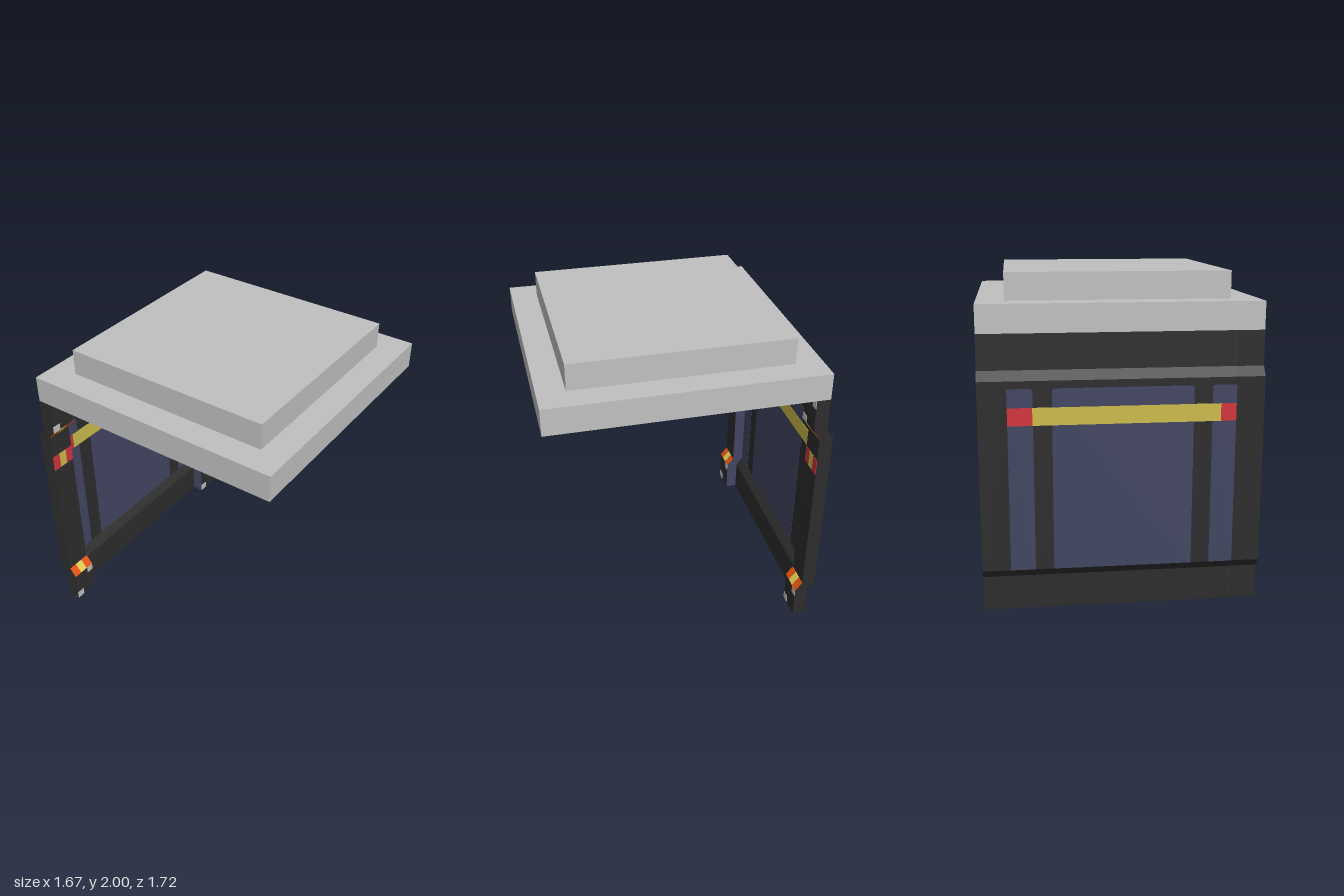
import * as THREE from 'three';

export function createModel() {
  const model = new THREE.Group();
  const paint = (name, color) => {
    const m = new THREE.MeshStandardMaterial({ color });
    m.name = name;
    return m;
  };
  const grey = paint('light grey', 0xc0c0c0);
  const dark = paint('charcoal', 0x2d2d2d);
  const blue = paint('window blue', 0x424662);
  const red = paint('red', 0xd0343c);
  const yellow = paint('yellow', 0xccbc4c);
  const orange = paint('orange', 0xe4520f);
  const lamp = paint('lamp yellow', 0xe2cb55);

  const add = (parent, name, geometry, material) => {
    const mesh = new THREE.Mesh(geometry, material);
    mesh.name = name;
    parent.add(mesh);
    return mesh;
  };

  // Prism along x from a profile of [z, y] points
  const prism = (profile, x0, x1) => {
    const shape = new THREE.Shape(profile.map(([z, y]) => new THREE.Vector2(-z, y)));
    const g = new THREE.ExtrudeGeometry(shape, { depth: x1 - x0, bevelEnabled: false });
    return g.rotateY(Math.PI / 2).translate(x0, 0, 0);
  };
  const block = (x0, x1, y0, y1, z0, z1) =>
    prism([[z0, y0], [z1, y0], [z1, y1], [z0, y1]], x0, x1);

  // Stepped hollow roof
  const roof = new THREE.Group();
  roof.name = 'roof';
  roof.position.z = 0.0225;
  model.add(roof);
  const square = (Type, h) =>
    new Type([[-h, -h], [h, -h], [h, h], [-h, h]].map(([x, y]) => new THREE.Vector2(x, y)));
  const ring = (name, outer, inner, y0, y1) => {
    const shape = square(THREE.Shape, outer);
    shape.holes.push(square(THREE.Path, inner));
    const g = new THREE.ExtrudeGeometry(shape, { depth: y1 - y0, bevelEnabled: false });
    add(roof, name, g.rotateX(-Math.PI / 2).translate(0, y0, 0), grey);
  };
  ring('lowerRoofFrame', 0.8335, 0.667, 1.67, 1.837);
  ring('upperRoofFrame', 0.667, 0.5, 1.837, 2);
  add(roof, 'roofCap', new THREE.BoxGeometry(1, 0.006, 1).translate(0, 1.997, 0), grey);

  // Cranked wall profile: back edge up, then front edge down
  const heights = [0, 0.21, 0.265, 1.405, 1.46, 1.67];
  const backZ = [-0.81, -0.81, -0.855, -0.855, -0.81, -0.81];
  const cranked = (t) => {
    const back = heights.map((y, i) => [backZ[i], y]);
    return [...back, ...back.map(([z, y]) => [z + t, y]).reverse()];
  };
  const wall = new THREE.Group();
  wall.name = 'wall';
  model.add(wall);
  add(wall, 'wallPanel', prism(cranked(0.008), -0.667, 0.667), dark);

  // Windows pass just through the panel; flags round the top corners
  const pane = (name, x0, x1, roundLeft, roundRight) => {
    const y0 = 0.265, y1 = 1.36;
    const rl = roundLeft ? 0.022 : 0, rr = roundRight ? 0.022 : 0;
    const s = new THREE.Shape();
    s.moveTo(x0, y0);
    s.lineTo(x1, y0);
    s.lineTo(x1, y1 - rr);
    if (rr) s.quadraticCurveTo(x1, y1, x1 - rr, y1);
    s.lineTo(x0 + rl, y1);
    if (rl) s.quadraticCurveTo(x0, y1, x0, y1 - rl);
    const g = new THREE.ExtrudeGeometry(s, { depth: 0.012, bevelEnabled: false, curveSegments: 4 });
    add(wall, name, g.translate(0, 0, -0.857), blue);
  };
  pane('rightWindow', -0.667, -0.525, false, true);
  pane('middleWindow', -0.415, 0.41, true, true);
  pane('leftWindow', 0.52, 0.667, true, false);

  // Handrail stripe, seen on both faces of the panel
  const rail = [[-0.667, -0.575, red], [-0.575, 0.523, yellow], [0.523, 0.667, red]];
  for (const [x0, x1, m] of rail) {
    add(wall, 'railStripe', block(x0, x1, 1.145, 1.25, -0.859, -0.843), m);
  }

  // Two identical posts, each starting at its lower x edge
  const W = 0.168, A = 0.056, B = 0.112, T = 0.003;
  [-0.835, 0.667].forEach((x, i) => {
    const post = new THREE.Group();
    post.name = i ? 'leftPost' : 'rightPost';
    post.position.x = x;
    model.add(post);
    add(post, 'postBody', prism(cranked(0.085), 0, W), dark);

    // Blue lining on the face towards the windows
    const lining = i ? prism(cranked(0.084), -T, 0) : prism(cranked(0.084), W, W + T);
    add(post, 'postLining', lining, blue);

    // Three-part bands on the straight face and on both bends
    [[0, A], [A, B], [B, W]].forEach(([x0, x1], k) => {
      const mid = k === 1;
      add(post, 'postStripe', block(x0, x1, 1.145, 1.25, -0.77, -0.77 + T), mid ? yellow : red);
      for (const [yOut, yIn] of [[0.21, 0.265], [1.46, 1.405]]) {
        const band = [[-0.725, yOut], [-0.725 + T, yOut], [-0.77 + T, yIn], [-0.77, yIn]];
        add(post, 'bendStripe', prism(band, x0, x1), mid ? lamp : orange);
      }
    });

    // Pale corner chips
    for (const [x0, x1, y0, y1] of [
      [0.118, W, 1.615, 1.67], [0, A, 1.46, 1.505],
      [0.118, W, 0.16, 0.21], [0, A, 0, 0.05],
    ]) {
      add(post, 'cornerChip', block(x0, x1, y0, y1, -0.725, -0.725 + T), grey);
    }
    add(post, 'footChip', block(0, A, -0.001, 0.002, -0.775, -0.725), grey);
  });

  return model;
}
